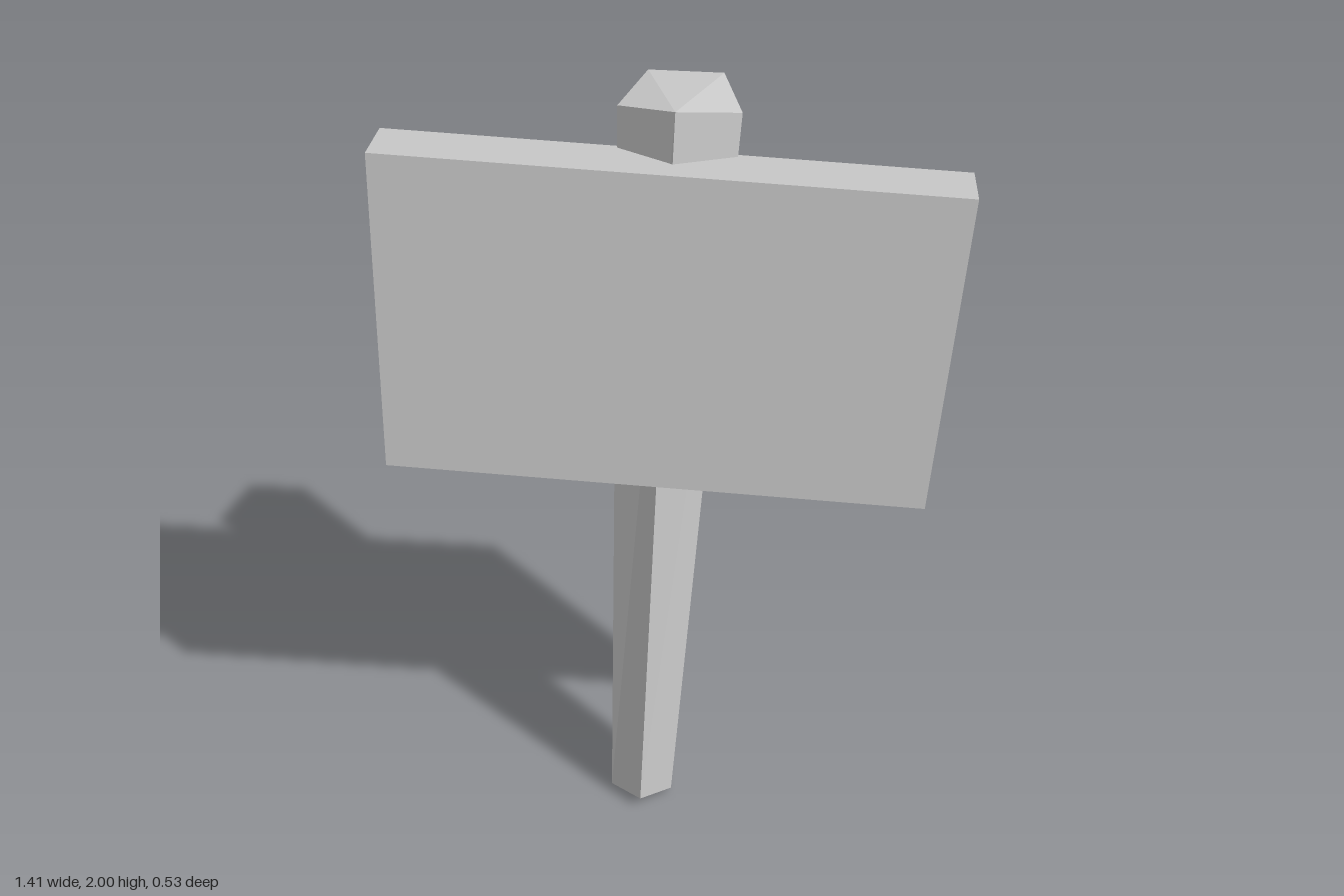
import * as THREE from 'three';

// Flat-faced prism between two rings, each counter-clockwise seen from above
function loft(name, bottom, top, closedBottom) {
  const n = bottom.length;
  const pos = [];
  const tri = (a, b, c) => pos.push(...a, ...b, ...c);
  for (let i = 0; i < n; i++) {
    const j = (i + 1) % n;
    tri(bottom[i], bottom[j], top[j]);
    tri(bottom[i], top[j], top[i]);
  }
  for (let i = 1; i < n - 1; i++) {
    tri(top[0], top[i], top[i + 1]);
    if (closedBottom) tri(bottom[0], bottom[i + 1], bottom[i]);
  }
  const geometry = new THREE.BufferGeometry();
  geometry.setAttribute('position', new THREE.Float32BufferAttribute(pos, 3));
  geometry.computeVertexNormals();
  const mesh = new THREE.Mesh(geometry, new THREE.MeshStandardMaterial({
    color: 0xcccccc,
    flatShading: true,
    side: closedBottom ? THREE.FrontSide : THREE.DoubleSide,
  }));
  mesh.name = name;
  return mesh;
}

export function createModel() {
  const group = new THREE.Group();
  group.name = 'signpost';

  // Leaning five-sided post, wider at the top, open underneath
  group.add(loft('post',
    [[-0.085, 0.035, 0.265], [0, 0.022, 0.212], [-0.02, 0, 0.11], [-0.125, 0.005, 0.115], [-0.165, 0.028, 0.2]],
    [[0.01, 2, 0.01], [0.165, 1.963, -0.06], [0.128, 1.968, -0.258], [-0.053, 1.972, -0.268], [-0.123, 1.97, -0.085]],
    false));

  // Slightly skewed sign board across the front of the post
  group.add(loft('board',
    [[-0.705, 1.11, 0.15], [0.62, 1.06, 0.265], [0.627, 1.04, 0.138], [-0.7, 1.09, 0.02]],
    [[-0.693, 1.915, 0.04], [0.688, 1.86, 0.16], [0.702, 1.835, -0.01], [-0.682, 1.89, -0.13]],
    true));

  return group;
}
